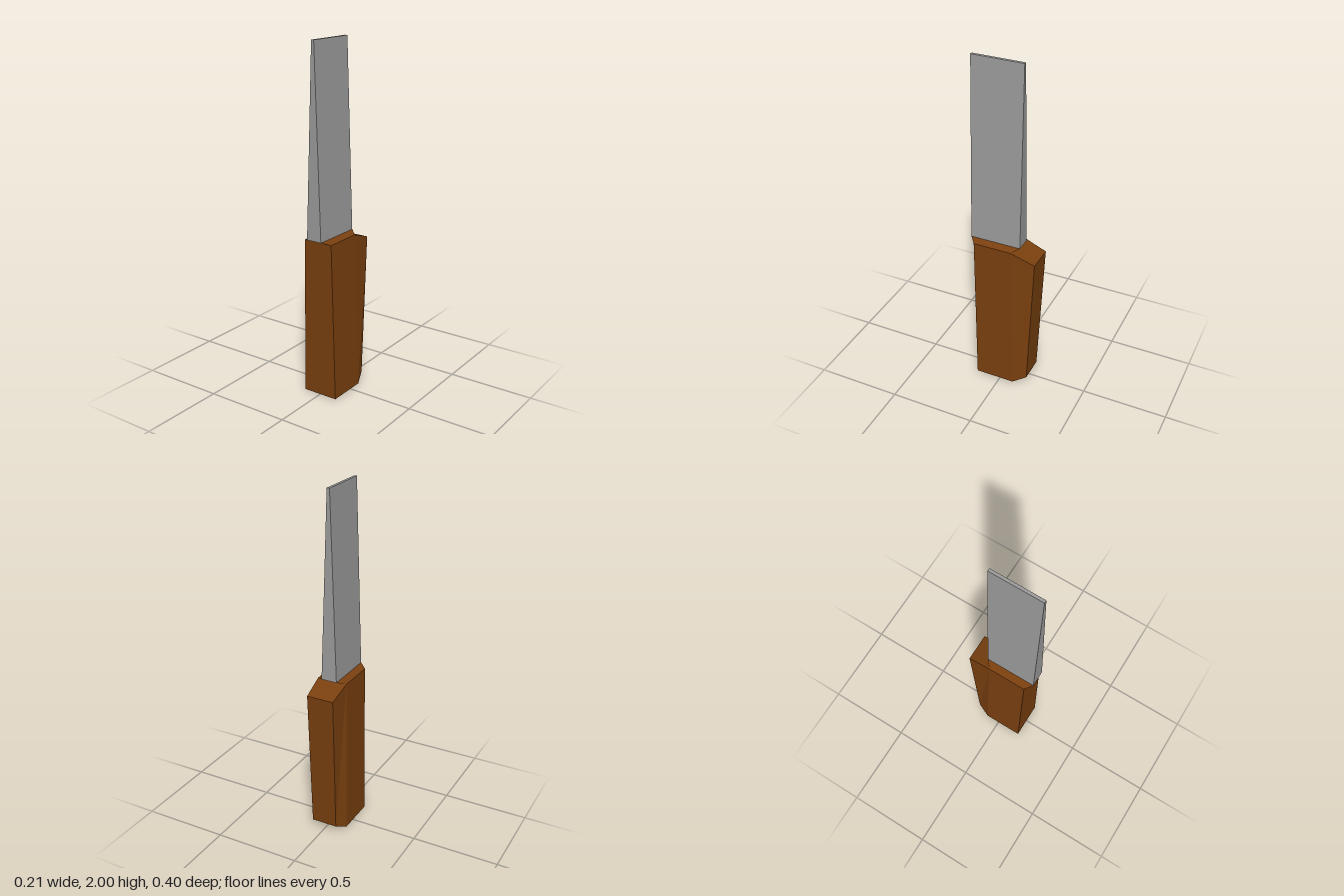
import * as THREE from 'three';

// Flat-faced solid through four-cornered rings; each ring runs counter-clockwise seen from the first end
function loft(rings) {
  const pos = [];
  const tri = (...pts) => pts.forEach((p) => pos.push(...p));
  for (let r = 0; r < rings.length - 1; r++) {
    const a = rings[r], b = rings[r + 1];
    for (let i = 0; i < 4; i++) {
      const j = (i + 1) % 4;
      tri(a[i], b[i], b[j]);
      tri(a[i], b[j], a[j]);
    }
  }
  const s = rings[0], e = rings[rings.length - 1];
  tri(s[0], s[1], s[2]);
  tri(s[0], s[2], s[3]);
  tri(e[0], e[2], e[1]);
  tri(e[0], e[3], e[2]);
  const g = new THREE.BufferGeometry();
  g.setAttribute('position', new THREE.Float32BufferAttribute(pos, 3));
  g.computeVertexNormals();
  return g;
}

// Horizontal rectangle at height y
const level = (y, x, front, back) => [[x, y, front], [x, y, back], [-x, y, back], [-x, y, front]];

// Upright ring with separate bottom and top edges, each [halfWidth, y, z]
const upright = ([bx, by, bz], [tx, ty, tz]) => [[bx, by, bz], [tx, ty, tz], [-tx, ty, tz], [-bx, by, bz]];

export function createModel() {
  const model = new THREE.Group();
  const wood = new THREE.MeshStandardMaterial({ color: 0x7a400f });
  wood.name = 'brown wood';
  const steel = new THREE.MeshStandardMaterial({ color: 0x9c9c9c });
  steel.name = 'grey steel';

  const add = (name, geometry, material) => {
    const mesh = new THREE.Mesh(geometry, material);
    mesh.name = name;
    model.add(mesh);
  };

  // Grip, from its front face through the body to the swollen back
  add('handle', loft([
    upright([0.105, 0, 0.15], [0.088, 0.92, 0.165]),
    upright([0.105, 0, -0.083], [0.088, 0.92, -0.061]),
    upright([0.076, 0.04, -0.16], [0.079, 0.87, -0.2]),
  ]), wood);

  // Thin collar narrowing in width and flaring in depth to meet the blade
  add('collar', loft([level(0.935, 0.046, 0.2, -0.097), level(0.92, 0.088, 0.165, -0.061)]), wood);

  // Wedge blade tapering to a narrow flat tip
  add('blade', loft([level(2, 0.008, 0.2, -0.097), level(0.935, 0.046, 0.2, -0.097)]), steel);

  return model;
}
